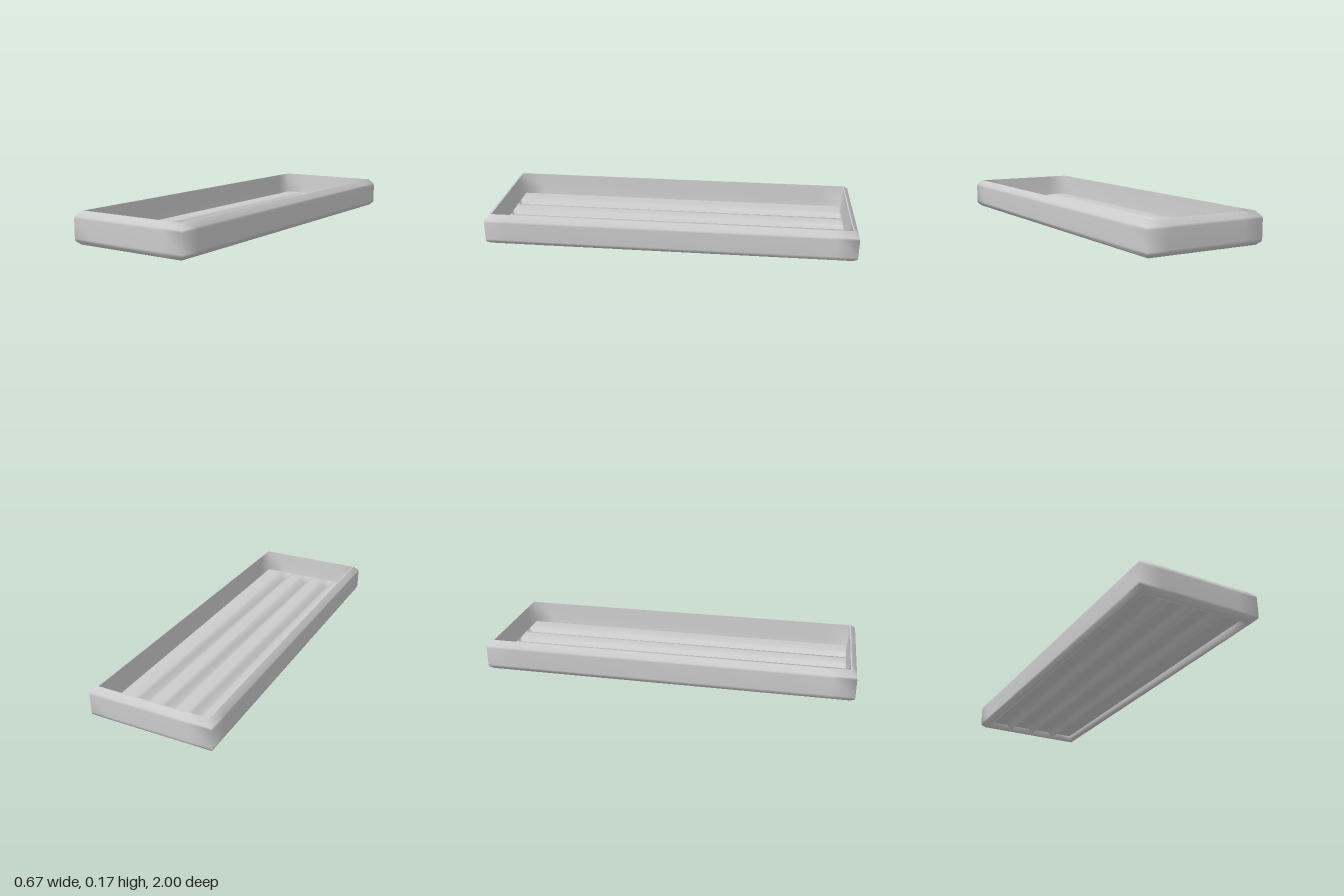
import * as THREE from 'three';

const HALF_W = 0.334, HALF_L = 1;
const material = new THREE.MeshStandardMaterial({ color: 0xcccccc, side: THREE.DoubleSide });

function meshFrom(name, positions, index) {
  const geometry = new THREE.BufferGeometry();
  geometry.setAttribute('position', new THREE.Float32BufferAttribute(positions, 3));
  geometry.setIndex(index);
  geometry.computeVertexNormals();
  const mesh = new THREE.Mesh(geometry, material);
  mesh.name = name;
  return mesh;
}

// Rectangular ring at a given inset, with extra points near the corners
function ring(inset, y) {
  const w = HALF_W - inset, l = HALF_L - inset, s = 0.12;
  const points = [
    [w, l], [w, l - s], [w, s - l], [w, -l], [w - s, -l], [s - w, -l],
    [-w, -l], [-w, s - l], [-w, l - s], [-w, l], [s - w, l], [w - s, l],
  ];
  return points.flatMap(([x, z]) => [x, y, z]);
}

// Sweep a profile of [inset, y] points around the rectangle
function frame(name, profile) {
  const positions = profile.flatMap(([inset, y]) => ring(inset, y));
  const index = [], n = 12;
  for (let i = 0; i < profile.length - 1; i++) {
    for (let j = 0; j < n; j++) {
      const a = i * n + j, b = i * n + (j + 1) % n;
      index.push(a, b, a + n, b, b + n, a + n);
    }
  }
  return meshFrom(name, positions, index);
}

// Sheet pressed with three lengthwise grooves that close before the ends
function groovedSheet(name, y, depth, up) {
  const edge = 0.292;
  const section = [[-edge, 0], [-0.23, 0.004]];
  for (const x of [-0.15, -0.002, 0.146]) {
    section.push([x - 0.05, 0.004], [x - 0.024, 0], [x - 0.009, -depth],
      [x + 0.009, -depth], [x + 0.03, 0], [x + 0.055, 0.004]);
  }
  section.push([0.24, 0.004], [edge, 0]);
  const stations = [[-0.96, 0], [-0.953, 0], [-0.94, 1], [-0.9, 1],
    [0.9, 1], [0.94, 1], [0.953, 0], [0.96, 0]];
  const positions = [], index = [], n = section.length;
  for (const [z, amount] of stations) {
    for (const [x, h] of section) positions.push(x, y + h * amount, z);
  }
  for (let i = 0; i < stations.length - 1; i++) {
    for (let j = 0; j < n - 1; j++) {
      const a = i * n + j, b = a + 1, c = a + n, d = c + 1;
      if (up) index.push(a, c, b, b, c, d);
      else index.push(a, b, c, b, d, c);
    }
  }
  return meshFrom(name, positions, index);
}

export function createModel() {
  const tray = new THREE.Group();
  tray.name = 'tray';

  // Chamfered outside, thin top edge, inside face and bottom lip
  tray.add(
    frame('outerWall', [[0.022, 0.004], [0.002, 0.022], [0, 0.035], [0, 0.133], [0.002, 0.145], [0.028, 0.172]]),
    frame('topRim', [[0.028, 0.172], [0.034, 0.172]]),
    frame('innerWall', [[0.034, 0.172], [0.041, 0.08], [0.046, 0.046]]),
    frame('bottomLip', [[0.048, 0.036], [0.044, 0.004], [0.022, 0.004]]),
  );

  // Floor seen from inside and from below
  tray.add(
    groovedSheet('floorTop', 0.048, 0.031, true),
    groovedSheet('floorUnderside', 0.036, 0.028, false),
  );

  // Set the base on the ground
  const base = new THREE.Box3().setFromObject(tray).min.y;
  tray.children.forEach((part) => { part.position.y = -base; });
  return tray;
}
